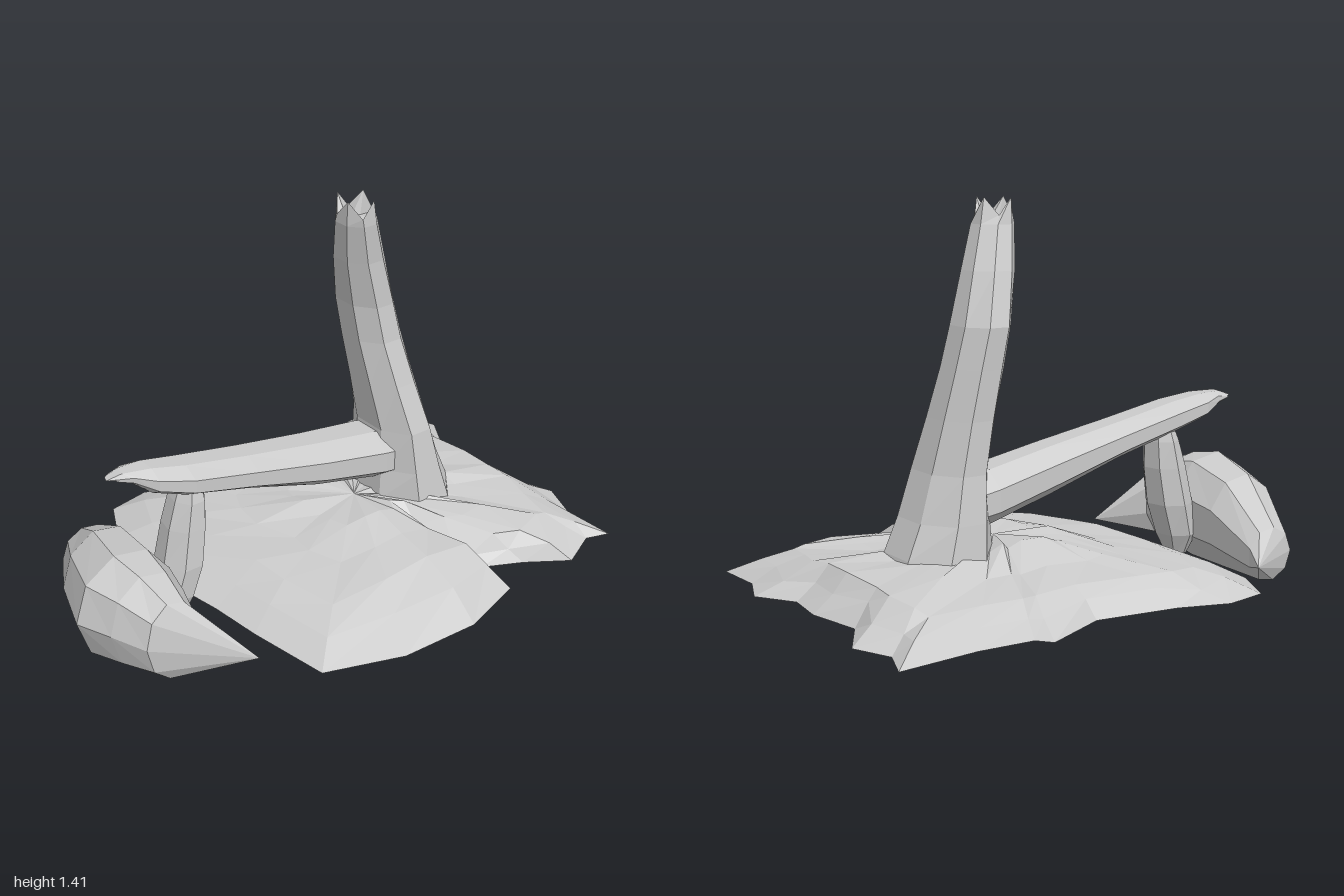
import * as THREE from 'three';

const material = new THREE.MeshStandardMaterial({ color: 0xcccccc, flatShading: true, side: THREE.DoubleSide });

// repeatable roughness in the range -1..1
const rough = (i, j) => {
  const s = Math.sin(i * 12.99 + j * 78.23) * 43758.5;
  return 2 * (s - Math.floor(s)) - 1;
};

// skin over a list of equal-length point rings
function loft(name, rings) {
  const n = rings[0].length, index = [];
  for (let i = 0; i < rings.length - 1; i++) {
    for (let j = 0; j < n; j++) {
      const a = i * n + j, b = i * n + (j + 1) % n;
      index.push(a, a + n, b, b, a + n, b + n);
    }
  }
  const geometry = new THREE.BufferGeometry();
  geometry.setAttribute('position', new THREE.Float32BufferAttribute(rings.flat(2), 3));
  geometry.setIndex(index);
  const flat = geometry.toNonIndexed();
  flat.computeVertexNormals();
  const mesh = new THREE.Mesh(flat, material);
  mesh.name = name;
  return mesh;
}

// polygon ring fitted to the bounds u0..u1, v0..v1; place(u, v, j) gives the point
function ring(n, u0, u1, v0, v1, place) {
  const k = 0.5 / Math.cos(Math.PI / n);
  return Array.from({ length: n }, (_, j) => {
    const a = (j + 0.5) * 2 * Math.PI / n;
    return place((u0 + u1) / 2 + (u1 - u0) * k * Math.cos(a),
      (v0 + v1) / 2 + (v1 - v0) * k * Math.sin(a), j);
  });
}

function ground() {
  // edge x, edge z, shoulder scale, shoulder height
  const edge = [
    [-0.44, -0.68, 0.75, 0.16], [-0.28, -0.71, 0.76, 0.17], [-0.1, -0.65, 0.8, 0.17], [0.2, -0.61, 0.8, 0.17],
    [0.44, -0.72, 0.72, 0.17], [0.48, -0.67, 0.74, 0.16], [0.68, -0.66, 0.74, 0.16], [0.97, -0.69, 0.72, 0.16],
    [0.92, -0.56, 0.8, 0.18], [0.98, -0.42, 0.76, 0.19], [0.88, -0.25, 0.85, 0.19], [0.92, -0.04, 0.82, 0.2],
    [0.9, 0.12, 0.84, 0.2], [0.99, 0.26, 0.76, 0.19], [0.93, 0.41, 0.78, 0.18], [0.94, 0.61, 0.74, 0.17],
    [0.85, 0.58, 0.78, 0.18], [0.7, 0.65, 0.76, 0.18], [0.55, 0.55, 0.82, 0.18], [0.41, 0.48, 0.78, 0.13],
    [0.4, 0.64, 0.72, 0.2], [0.15, 0.72, 0.62, 0.21], [-0.15, 0.71, 0.64, 0.2], [-0.43, 0.61, 0.7, 0.17],
    [-0.48, 0.3, 0.72, 0.18], [-0.5, 0.1, 0.72, 0.19], [-0.56, -0.24, 0.7, 0.18], [-0.53, -0.5, 0.72, 0.17]];
  const layer = (scale, height) => edge.map(([x, z, s, h], j) => {
    const k = scale(s, j);
    return [0.2 + (x - 0.2) * k, height(h, j), z * k];
  });
  return loft('ground', [
    layer(() => 0, () => 0.08),
    layer(() => 1, () => 0.08),
    layer((s, j) => (1 + s) / 2 + 0.02 * rough(j, 1), (h, j) => 0.08 + (h - 0.08) * (0.55 + 0.15 * rough(j, 2))),
    layer((s) => s, (h) => h),
    layer((s, j) => s * 0.66 + 0.03 * rough(j, 3), (h, j) => 0.4 * h + 0.13 + 0.014 * rough(j, 4)),
    layer((s) => s * 0.36, (h, j) => 0.24 + 0.016 * rough(j, 5)),
    layer(() => 0, () => 0.24)]);
}

function trunk() {
  // y, x range, z range
  const sections = [
    [0.1, 0.25, 0.63, -0.23, 0.2], [0.22, 0.27, 0.6, -0.22, 0.18], [0.34, 0.28, 0.55, -0.21, 0.165],
    [0.5, 0.285, 0.5, -0.19, 0.145], [0.68, 0.26, 0.46, -0.19, 0.09], [0.85, 0.235, 0.425, -0.2, 0.045],
    [0.99, 0.215, 0.395, -0.21, 0.03], [1.17, 0.175, 0.34, -0.16, 0.03], [1.32, 0.15, 0.285, -0.11, 0.045]];
  const rings = sections.map(([y, ...b]) => ring(8, ...b, (x, z) => [x, y, z]));
  // splintered rim and hollow
  rings.push(ring(8, 0.15, 0.265, -0.095, 0.045, (x, z, j) => [x, j % 2 ? 1.41 : 1.35, z]));
  rings.push(ring(8, 0.18, 0.24, -0.06, 0.015, (x, z) => [x, 1.33, z]));
  rings.push(ring(8, 0.21, 0.21, -0.02, -0.02, (x, z) => [x, 1.32, z]));
  return loft('trunk', rings);
}

function branch() {
  // x, y range, z range
  const sections = [
    [0.4, 0.28, 0.46, -0.15, 0.09], [0.27, 0.3, 0.49, -0.16, 0.1], [0, 0.37, 0.54, -0.135, 0.1],
    [-0.3, 0.465, 0.595, -0.125, 0.09], [-0.55, 0.53, 0.645, -0.12, 0.08], [-0.67, 0.57, 0.665, -0.12, 0.045],
    [-0.75, 0.62, 0.668, -0.1, 0.0], [-0.8, 0.64, 0.65, -0.09, -0.03], [-0.78, 0.645, 0.645, -0.06, -0.06]];
  return loft('branch', sections.map(([x, ...b]) => ring(8, ...b, (y, z, j) =>
    [x + (x < -0.7 ? 0.02 * rough(j, 6) : 0), y, z])));
}

function hangingLimb() {
  // y, z range, x range
  const sections = [
    [0.58, -0.07, 0.03, -0.55, -0.48], [0.5, -0.09, 0.05, -0.58, -0.47], [0.4, -0.1, 0.06, -0.61, -0.47],
    [0.26, -0.11, 0.07, -0.64, -0.49], [0.14, -0.1, 0.06, -0.67, -0.53], [0.06, -0.06, 0.03, -0.64, -0.57],
    [0.06, -0.02, -0.02, -0.6, -0.6]];
  return loft('hangingLimb', sections.map(([y, ...b]) => ring(7, ...b, (z, x) => [x, y, z])));
}

function crescentRock() {
  // z, x range, y range
  const sections = [
    [0.44, -0.56, -0.56, 0.1, 0.1], [0.28, -0.89, -0.7, 0.045, 0.33], [0.16, -0.95, -0.67, 0.025, 0.38],
    [0.03, -1, -0.64, 0.005, 0.4], [-0.2, -0.92, -0.62, 0.015, 0.36], [-0.44, -0.79, -0.6, 0.035, 0.22],
    [-0.51, -0.58, -0.58, 0.11, 0.11]];
  return loft('crescentRock', sections.map(([z, ...b]) => ring(9, ...b, (x, y) => [x, y, z])));
}

export function createModel() {
  const group = new THREE.Group();
  group.name = 'brokenTree';
  group.add(ground(), trunk(), branch(), hangingLimb(), crescentRock());
  return group;
}
